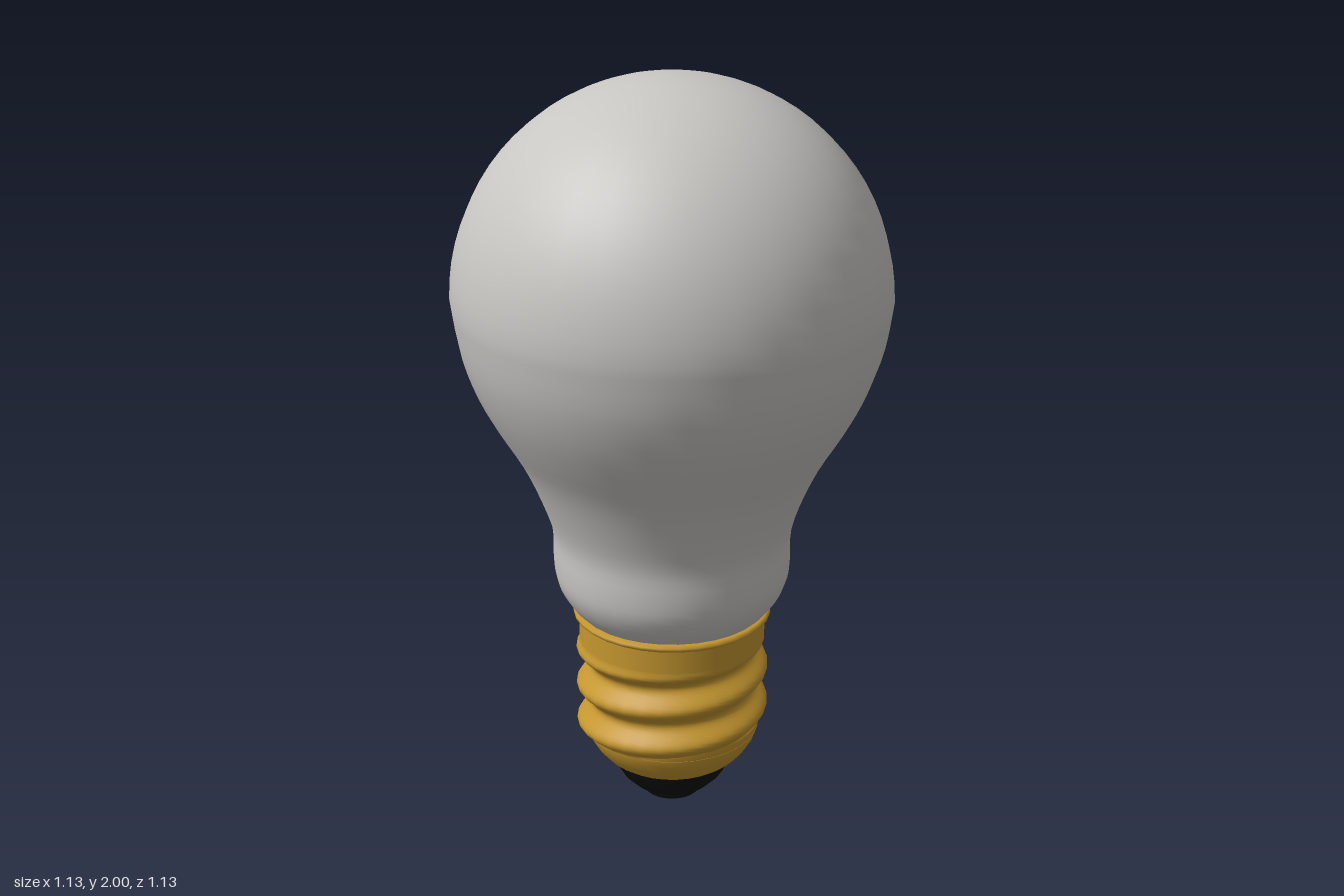
import * as THREE from 'three';
import { mergeVertices } from 'three/addons/utils/BufferGeometryUtils.js';

const SIDES = 32;
const glass = new THREE.MeshStandardMaterial({ name: 'frosted glass', color: 0xc8c6c3 });
const brass = new THREE.MeshStandardMaterial({ name: 'brass', color: 0xc4962f });
const black = new THREE.MeshStandardMaterial({ name: 'black insulator', color: 0x0d0d0d });

const toPoints = (pairs) => pairs.map(([r, y]) => new THREE.Vector2(r, y));

// Profiles run from bottom to top as [radius, height]
function lathe(name, points, material) {
  const mesh = new THREE.Mesh(new THREE.LatheGeometry(points, SIDES), material);
  mesh.name = name;
  return mesh;
}

// Neck follows a spline, the crown is a round arc
function bulbProfile() {
  const neck = new THREE.SplineCurve(toPoints([
    [0.23, 0.55], [0.255, 0.57], [0.287, 0.61], [0.309, 0.66], [0.315, 0.72], [0.317, 0.8],
    [0.35, 0.9], [0.395, 1.0], [0.455, 1.1], [0.507, 1.2], [0.545, 1.31], [0.565, 1.435],
  ])).getPoints(33);
  const crown = [];
  for (let i = 1; i <= 18; i++) {
    const a = (i / 18) * Math.PI / 2;
    crown.push(new THREE.Vector2(i === 18 ? 0 : 0.565 * Math.cos(a), 1.435 + 0.565 * Math.sin(a)));
  }
  return [...neck, ...crown];
}

// Sleeve whose radius is pushed in and out along a right-handed helix
function screwThread() {
  const bottom = 0.21, top = 0.48, pitch = 0.11, rows = 40;
  const points = [];
  for (let i = 0; i <= rows; i++) points.push(new THREE.Vector2(0.24, bottom + (top - bottom) * i / rows));
  let geo = new THREE.LatheGeometry(points, SIDES);
  const pos = geo.attributes.position;
  for (let i = 0; i < pos.count; i++) {
    const x = pos.getX(i), y = pos.getY(i), z = pos.getZ(i);
    const angle = Math.atan2(x, z) + Math.PI / 2;
    const wave = Math.cos(2 * Math.PI * (y - 0.325) / pitch - angle);
    const fadeTop = THREE.MathUtils.smoothstep(y, 0.44, top);
    const fadeBottom = 1 - THREE.MathUtils.smoothstep(y, bottom, 0.225);
    let r = THREE.MathUtils.lerp(0.241 + 0.019 * wave, 0.25, fadeTop);
    r = THREE.MathUtils.lerp(r, 0.236, fadeBottom);
    pos.setXYZ(i, x / 0.24 * r, y, z / 0.24 * r);
  }
  // Weld the seam so the normals stay smooth
  geo.deleteAttribute('normal');
  geo.deleteAttribute('uv');
  geo = mergeVertices(geo, 1e-4);
  geo.computeVertexNormals();
  const mesh = new THREE.Mesh(geo, brass);
  mesh.name = 'screwThread';
  return mesh;
}

export function createModel() {
  const model = new THREE.Group();
  model.name = 'lightBulb';

  model.add(lathe('glassBulb', bulbProfile(), glass));

  // Brass cap: rolled rim, plain sleeve, thread and rounded lower cup
  model.add(lathe('capRim', toPoints([
    [0.245, 0.546], [0.258, 0.547], [0.265, 0.553], [0.265, 0.56], [0.258, 0.566], [0.235, 0.567],
  ]), brass));
  model.add(lathe('capSleeve', toPoints([[0.25, 0.478], [0.25, 0.55]]), brass));
  model.add(screwThread());
  model.add(lathe('capCup', toPoints([
    [0.14, 0.115], [0.168, 0.118], [0.19, 0.134], [0.212, 0.16], [0.228, 0.187], [0.236, 0.212], [0.237, 0.23],
  ]), brass));

  // Black insulator and contact tip
  model.add(lathe('insulator', toPoints([
    [0.07, 0.02], [0.085, 0.022], [0.11, 0.037], [0.138, 0.065], [0.156, 0.095], [0.162, 0.12],
  ]), black));
  model.add(lathe('contactTip', toPoints([
    [0, 0], [0.05, 0.001], [0.075, 0.005], [0.084, 0.014], [0.085, 0.025],
  ]), black));

  return model;
}
